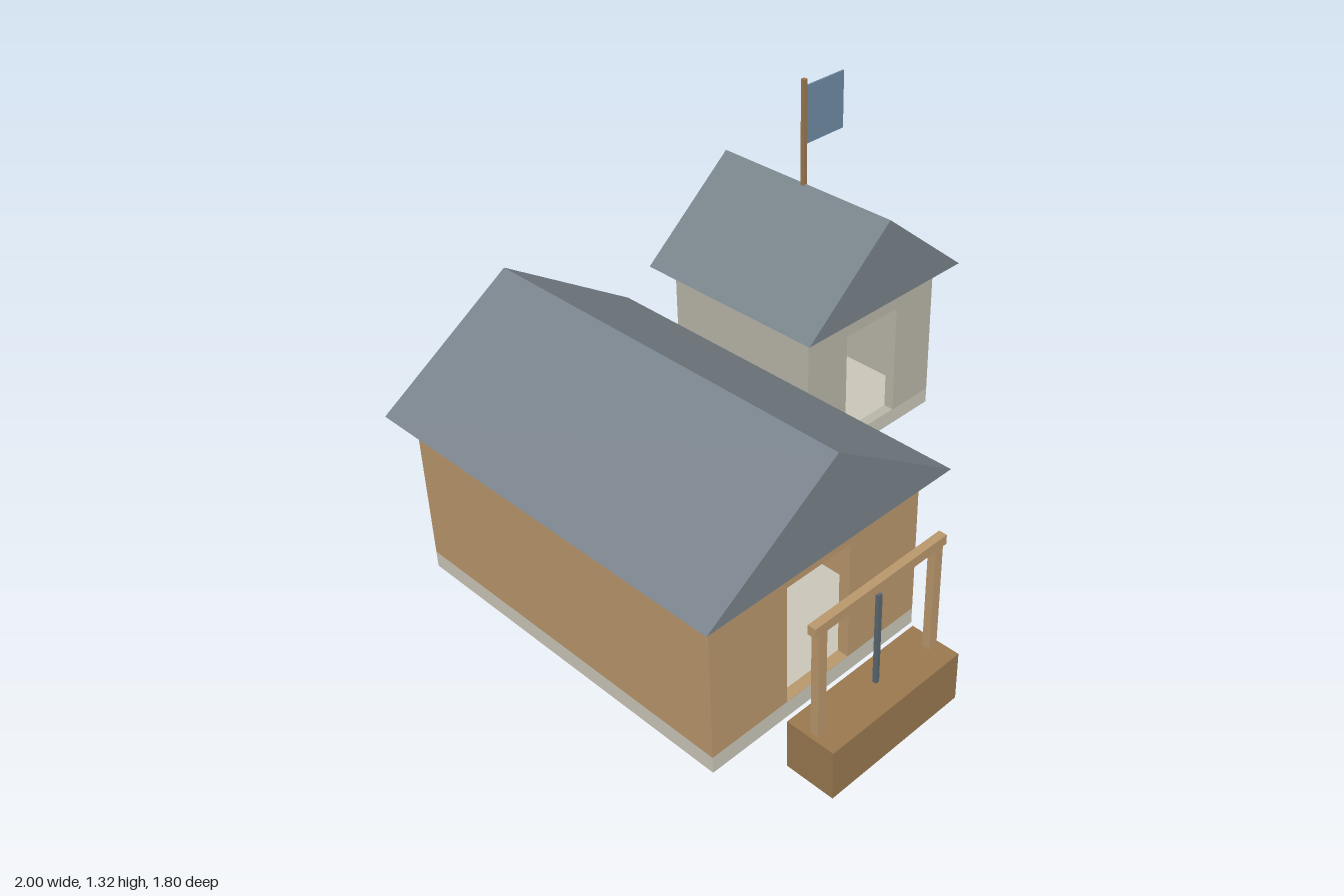
import * as THREE from 'three';

const mat = (color, side = THREE.FrontSide) => new THREE.MeshStandardMaterial({ color, side });
const wood = mat(0xb9976c);
const darkWood = mat(0x99784f);
const stone = mat(0xb9b5a8);
const slabStone = mat(0xcac6b8);
const slate = mat(0x79838b);
const cloth = mat(0x6f8aa3);
const iron = mat(0x5a6670);

// Box given by its extents on each axis
function box(name, material, [x0, x1], [y0, y1], [z0, z1]) {
  const mesh = new THREE.Mesh(new THREE.BoxGeometry(x1 - x0, y1 - y0, z1 - z0), material);
  mesh.position.set((x0 + x1) / 2, (y0 + y1) / 2, (z0 + z1) / 2);
  mesh.name = name;
  return mesh;
}

function extrude(name, material, shape, z0, z1) {
  const geometry = new THREE.ExtrudeGeometry(shape, { depth: z1 - z0, bevelEnabled: false });
  const mesh = new THREE.Mesh(geometry, material);
  mesh.position.z = z0;
  mesh.name = name;
  return mesh;
}

const polygon = (points) => points.map(([x, y]) => new THREE.Vector2(x, y));

const BASE = 0.06, EAVES = 0.605, RIDGE = 0.932, WALL = 0.04, OVERHANG = 0.066;

// Hollow hut: slab, four walls with a front doorway, gabled roof
function hut(name, material, [x0, x1], [z0, z1], [d0, d1]) {
  const group = new THREE.Group();
  group.name = name;
  const height = [BASE, EAVES];
  const inner = [z0 + WALL, z1 - WALL];

  const front = new THREE.Shape(polygon([[x0, BASE], [x1, BASE], [x1, EAVES], [x0, EAVES]]));
  front.holes.push(new THREE.Path(polygon([[d0, BASE + 0.001], [d0, 0.5], [d1, 0.5], [d1, BASE + 0.001]])));

  const roof = new THREE.Shape(polygon([
    [x0 - OVERHANG, EAVES], [x1 + OVERHANG, EAVES], [(x0 + x1) / 2, RIDGE],
  ]));

  group.add(
    box('foundation', slabStone, [x0, x1], [0, BASE], [z0, z1]),
    extrude('frontWall', material, front, z1 - WALL, z1),
    box('backWall', material, [x0, x1], height, [z0, z0 + WALL]),
    box('rightWall', material, [x0, x0 + WALL], height, inner),
    box('leftWall', material, [x1 - WALL, x1], height, inner),
    extrude('roof', slate, roof, z0 - OVERHANG, z1 + OVERHANG),
  );
  return group;
}

export function createModel() {
  const model = new THREE.Group();
  model.name = 'huts';

  model.add(
    hut('longHut', wood, [-0.935, -0.06], [-0.725, 0.59], [-0.63, -0.365]),
    hut('squareHut', stone, [0.272, 0.932], [-0.835, -0.175], [0.47, 0.735]),
  );

  // Deck between the huts with three planks in front
  const walkway = new THREE.Group();
  walkway.name = 'walkway';
  walkway.add(box('deck', wood, [-0.1, 0.38], [0.003, 0.11], [-0.834, -0.186]));
  for (let i = 0; i < 3; i++) {
    const z = 0.062 - i * 0.087;
    walkway.add(box('plank', wood, [-0.1, 0.38], [0.008, 0.088], [z - 0.077, z]));
  }
  model.add(walkway);

  // Plinth carrying a post frame with a hanging rod
  const gate = new THREE.Group();
  gate.name = 'gate';
  const frameZ = [0.8, 0.828];
  gate.add(
    box('plinth', darkWood, [-0.77, -0.224], [0, 0.177], [0.724, 0.9]),
    box('beam', wood, [-0.77, -0.224], [0.553, 0.586], frameZ),
    box('hangingRod', iron, [-0.504, -0.49], [0.2, 0.53], [0.807, 0.821]),
  );
  for (const side of [-1, 1]) {
    const x = -0.497 + side * 0.242;
    gate.add(box('post', wood, [x - 0.016, x + 0.016], [0.177, 0.553], frameZ));
  }
  model.add(gate);

  // Flag on the ridge of the square hut
  const flag = new THREE.Group();
  flag.name = 'flag';
  flag.add(
    box('flagpole', darkWood, [0.594, 0.61], [0.9, 1.323], [-0.519, -0.503]),
    box('flagCloth', cloth, [0.608, 0.8], [1.08, 1.296], [-0.514, -0.508]),
  );
  model.add(flag);

  return model;
}
